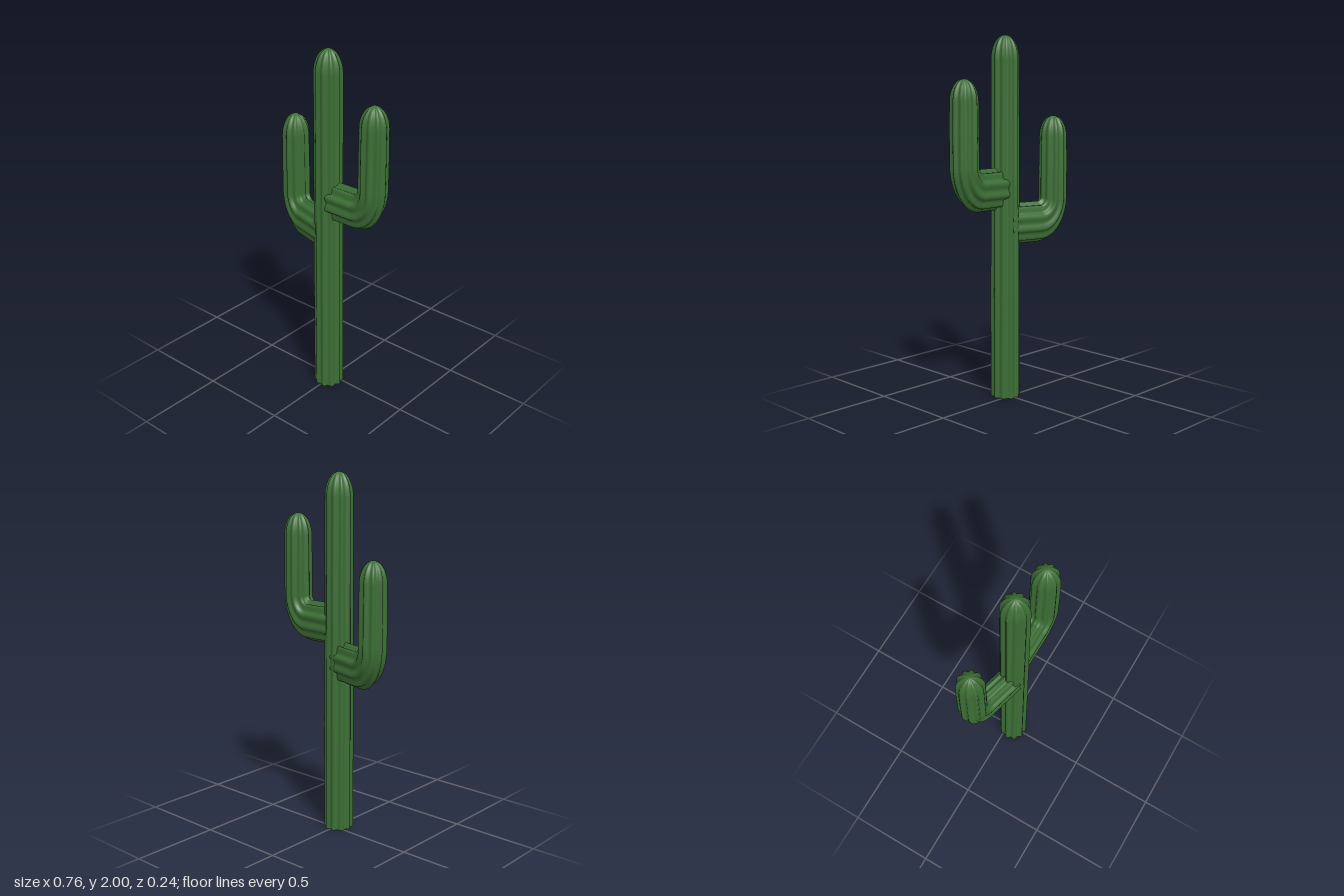
import * as THREE from 'three';

const RIBS = 10, STEPS = 6, SIDES = RIBS * STEPS;

// Unit fluted outline: u, v in -1..1, ridges at multiples of 36 degrees
function outline(i) {
  const t = (i / SIDES) * Math.PI * 2;
  const r = 0.915 + 0.085 * Math.cos(RIBS * t);
  return [r * Math.cos(t), r * Math.sin(t)];
}

// Joins a list of rings; each ring is a function (u, v) => [x, y, z]
function loft(rings, material, name) {
  const pos = [], index = [];
  rings.forEach((ring, k) => {
    for (let i = 0; i < SIDES; i++) {
      pos.push(...ring(...outline(i)));
      if (k === rings.length - 1) continue;
      const a = k * SIDES + i, b = k * SIDES + (i + 1) % SIDES;
      index.push(a, a + SIDES, b, b, a + SIDES, b + SIDES);
    }
  });
  const g = new THREE.BufferGeometry();
  g.setAttribute('position', new THREE.Float32BufferAttribute(pos, 3));
  g.setIndex(index);
  g.computeVertexNormals();
  const mesh = new THREE.Mesh(g, material);
  mesh.name = name;
  return mesh;
}

// Upright ring of radius r around x
const level = (x, y, r) => (u, v) => [x + u * r, y, v * r];

// Rounded tip rings from radius r, ending at height top
function dome(x, top, r, h) {
  const rings = [];
  for (let k = 1; k <= 10; k++) {
    const t = (k / 10) * Math.PI / 2;
    rings.push(level(x, top - h + h * Math.sin(t), Math.max(r * Math.cos(t), 0.0005)));
  }
  return rings;
}

// Arm along local +x: level run, quarter bend, upright run, rounded tip
function arm(reach, y, top, material, name) {
  const cx = reach - 0.1025, cy = y + 0.135;
  const rings = [];
  for (const x of [0, cx * 0.5]) {
    rings.push((u, v) => [x, y - 0.115 * u, 0.072 * v]);
  }
  for (let k = 0; k <= 14; k++) {
    const f = k / 14, t = f * Math.PI / 2;
    rings.push((u, v) => [
      cx + (0.1025 + 0.0785 * u) * Math.sin(t),
      cy - (0.135 + 0.115 * u) * Math.cos(t),
      (0.072 + 0.0075 * f) * v,
    ]);
  }
  const h = 0.12;
  rings.push(level(reach, (cy + top - h) / 2, 0.079));
  rings.push(level(reach, top - h, 0.077), ...dome(reach, top, 0.077, h));
  return loft(rings, material, name);
}

export function createModel() {
  const green = new THREE.MeshStandardMaterial({ color: 0x3c6e35 });
  green.name = 'cactus green';
  const model = new THREE.Group();
  model.name = 'cactus';

  // Tapering trunk
  const trunk = loft([
    level(0, 0, 0.083), level(0, 0.6, 0.082), level(0, 1.2, 0.079),
    level(0, 1.87, 0.077), ...dome(0, 2, 0.077, 0.13),
  ], green, 'trunk');

  // Flat underside of the trunk
  const base = new THREE.Shape();
  for (let i = 0; i < SIDES; i++) {
    const [u, v] = outline(i);
    base[i ? 'lineTo' : 'moveTo'](u * 0.083, v * 0.083);
  }
  const trunkBase = new THREE.Mesh(new THREE.ShapeGeometry(base), green);
  trunkBase.name = 'trunkBase';
  trunkBase.rotation.x = Math.PI / 2;

  // Higher arm on the left, lower arm swept back on the right
  const leftArm = arm(0.302, 1.175, 1.767, green, 'leftArm');
  const rightArm = arm(0.312, 0.975, 1.565, green, 'rightArm');
  rightArm.rotation.y = Math.PI - 0.25;

  model.add(trunk, trunkBase, leftArm, rightArm);
  for (const part of model.children) part.position.z = 0.035;
  return model;
}
